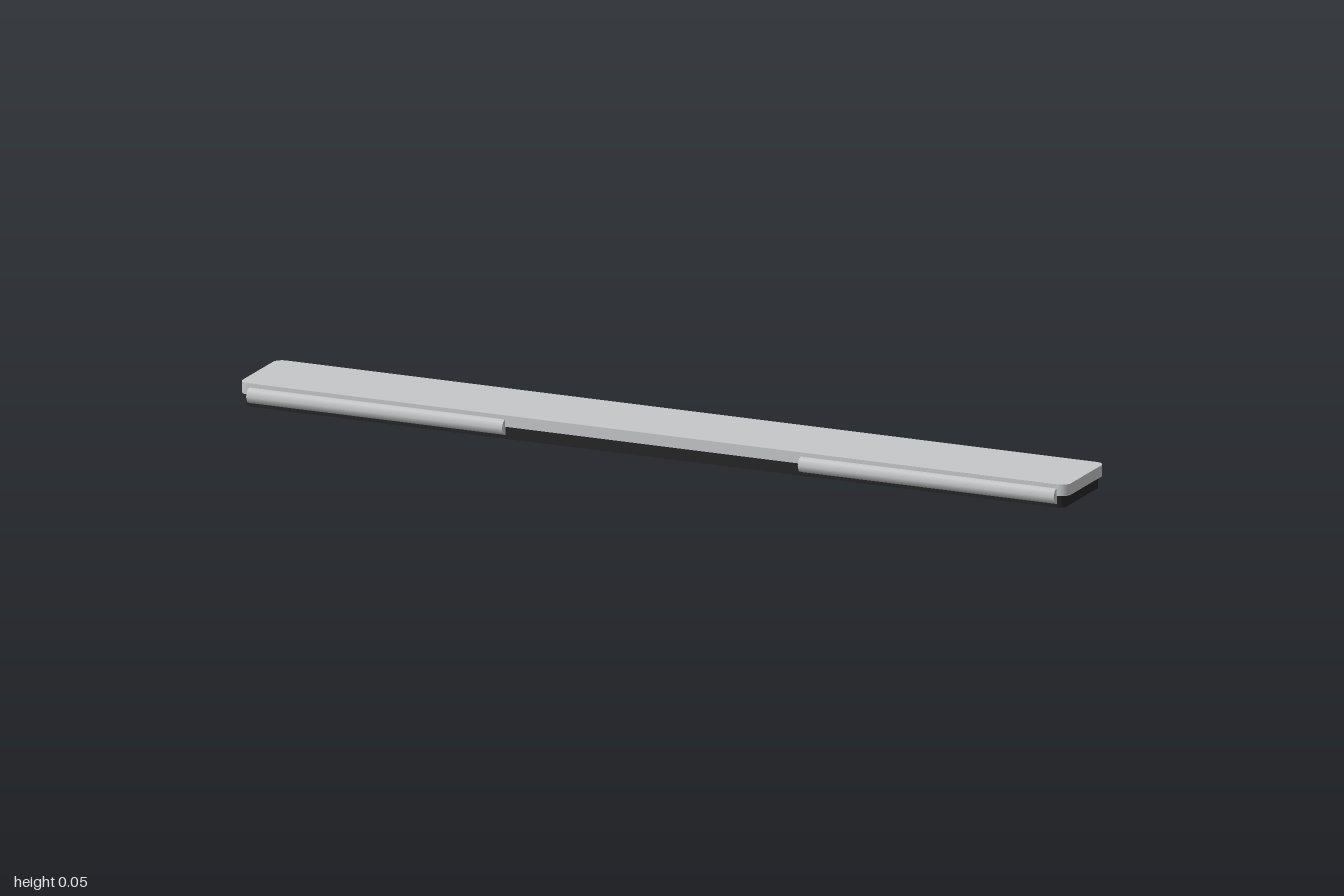
import * as THREE from 'three';

// Horizontal slab with rounded vertical corners, from y0 to y1
function roundedSlab(halfX, zBack, zFront, y0, y1, r) {
  const s = new THREE.Shape();
  // Shape y is -z once laid flat
  const lo = -zFront, hi = -zBack;
  s.moveTo(-halfX + r, lo);
  s.lineTo(halfX - r, lo);
  s.absarc(halfX - r, lo + r, r, -Math.PI / 2, 0);
  s.lineTo(halfX, hi - r);
  s.absarc(halfX - r, hi - r, r, 0, Math.PI / 2);
  s.lineTo(-halfX + r, hi);
  s.absarc(-halfX + r, hi - r, r, Math.PI / 2, Math.PI);
  s.lineTo(-halfX, lo + r);
  s.absarc(-halfX + r, lo + r, r, Math.PI, Math.PI * 1.5);
  const g = new THREE.ExtrudeGeometry(s, { depth: y1 - y0, bevelEnabled: false, curveSegments: 6 });
  g.rotateX(-Math.PI / 2);
  g.translate(0, y0, 0);
  return g;
}

export function createModel() {
  const model = new THREE.Group();
  model.name = 'barPanel';

  const silver = new THREE.MeshStandardMaterial({ color: 0xc6c7c8 });
  silver.name = 'silver grey';
  const black = new THREE.MeshStandardMaterial({ color: 0x262626 });
  black.name = 'soft black';

  const add = (name, geometry, material) => {
    const mesh = new THREE.Mesh(geometry, material);
    mesh.name = name;
    model.add(mesh);
    return mesh;
  };

  // Dark base and the slightly larger top plate
  add('base', roundedSlab(0.99, -0.106, 0.091, 0, 0.028, 0.02), black);
  add('topPlate', roundedSlab(1, -0.1085, 0.093, 0.028, 0.054, 0.022), silver);

  // Two octagonal rails set into the front edge
  for (const side of [-1, 1]) {
    const rail = new THREE.CylinderGeometry(0.019, 0.019, 0.618, 8);
    rail.rotateZ(Math.PI / 2);
    const mesh = add(side > 0 ? 'leftRail' : 'rightRail', rail, silver);
    mesh.position.set(side * 0.666, 0.027, 0.0895);
  }

  return model;
}
